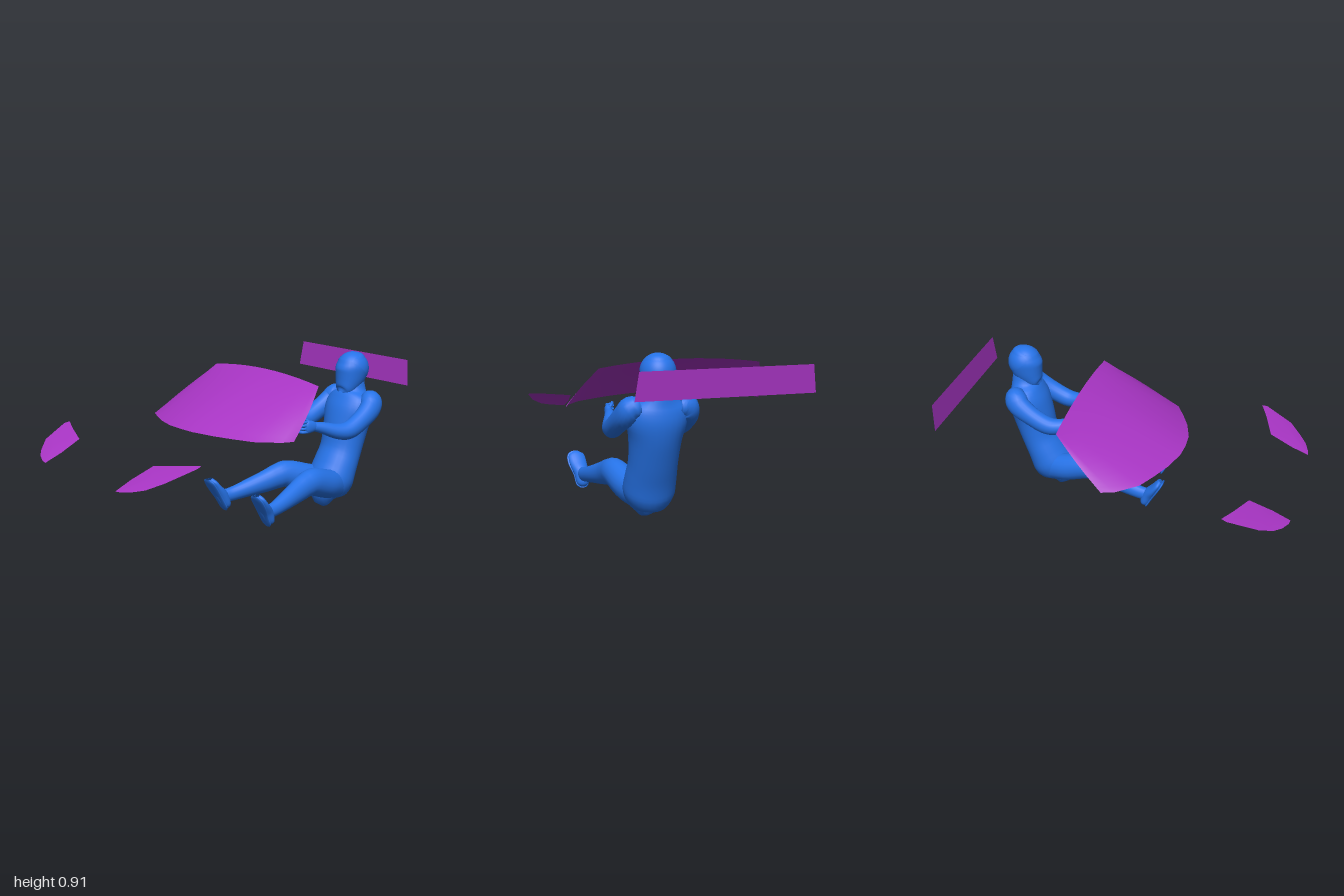
import * as THREE from 'three';

const blue = new THREE.MeshStandardMaterial({ color: 0x2673e8, side: THREE.DoubleSide });
const purple = new THREE.MeshStandardMaterial({ color: 0xa835c4, side: THREE.DoubleSide });

function buildGeometry(positions, index) {
  const g = new THREE.BufferGeometry();
  g.setAttribute('position', new THREE.Float32BufferAttribute(positions, 3));
  g.setIndex(index);
  g.computeVertexNormals();
  return g;
}

function addMesh(parent, name, geometry, material) {
  const mesh = new THREE.Mesh(geometry, material);
  mesh.name = name;
  parent.add(mesh);
  return mesh;
}

// Smooth tube of elliptical rings through sections [x, y, z, halfWidth, halfDepth]
function loft(sections, mirror = 1, sides = 20, perSection = 4) {
  const path = new THREE.CatmullRomCurve3(
    sections.map(([x, y, z]) => new THREE.Vector3(x * mirror, y, z)), false, 'catmullrom');
  const radii = new THREE.CatmullRomCurve3(
    sections.map(s => new THREE.Vector3(s[3], s[4], 0)), false, 'catmullrom');
  const steps = (sections.length - 1) * perSection;
  const positions = [], index = [];
  for (let i = 0; i <= steps; i++) {
    const c = path.getPoint(i / steps), r = radii.getPoint(i / steps);
    const t = path.getTangent(i / steps);
    const side = new THREE.Vector3(1, 0, 0).addScaledVector(t, -t.x).normalize();
    const n = new THREE.Vector3().crossVectors(t, side);
    for (let j = 0; j < sides; j++) {
      const a = j / sides * Math.PI * 2;
      const p = c.clone()
        .addScaledVector(side, Math.cos(a) * Math.max(r.x, 0.001))
        .addScaledVector(n, Math.sin(a) * Math.max(r.y, 0.001));
      positions.push(p.x, p.y, p.z);
      if (i < steps) {
        const k = (j + 1) % sides, a0 = i * sides, a1 = a0 + sides;
        index.push(a0 + j, a0 + k, a1 + j, a0 + k, a1 + k, a1 + j);
      }
    }
  }
  return buildGeometry(positions, index);
}

// Seated driver, modelled about its own centre line
function createDriver() {
  const driver = new THREE.Group();
  driver.name = 'driver';

  addMesh(driver, 'torso', loft([
    [0, 0.008, -0.55, 0.02, 0.02], [0, 0.03, -0.535, 0.09, 0.10],
    [0, 0.11, -0.56, 0.138, 0.13], [0, 0.20, -0.60, 0.14, 0.12],
    [0, 0.30, -0.645, 0.134, 0.113], [0, 0.43, -0.68, 0.143, 0.123],
    [0, 0.53, -0.705, 0.165, 0.12], [0, 0.60, -0.72, 0.15, 0.10],
    [0, 0.65, -0.73, 0.085, 0.078], [0, 0.71, -0.73, 0.065, 0.068],
  ], 1, 28), blue);

  addMesh(driver, 'head', loft([
    [0, 0.637, -0.635, 0.02, 0.015], [0, 0.65, -0.655, 0.052, 0.045],
    [0, 0.69, -0.685, 0.072, 0.076], [0, 0.74, -0.71, 0.085, 0.099],
    [0, 0.79, -0.722, 0.09, 0.097], [0, 0.84, -0.724, 0.073, 0.077],
    [0, 0.862, -0.722, 0.045, 0.045], [0, 0.87, -0.72, 0.003, 0.003],
  ], 1, 28), blue);

  // Helmet shell, tipped back so its rim runs across the brow
  const helmet = addMesh(driver, 'helmet',
    new THREE.SphereGeometry(0.1, 28, 14, 0, Math.PI * 2, 0, Math.PI * 0.5), blue);
  helmet.position.set(0, 0.776, -0.725);
  helmet.rotation.x = -0.7;
  helmet.scale.x = 0.95;

  for (const [side, m] of [['left', 1], ['right', -1]]) {
    addMesh(driver, side + 'Arm', loft([
      [0.10, 0.60, -0.745, 0.05, 0.05], [0.145, 0.595, -0.738, 0.066, 0.066],
      [0.17, 0.56, -0.71, 0.058, 0.068], [0.185, 0.51, -0.63, 0.053, 0.058],
      [0.188, 0.462, -0.53, 0.051, 0.054], [0.175, 0.462, -0.45, 0.045, 0.045],
      [0.152, 0.49, -0.36, 0.033, 0.034], [0.14, 0.505, -0.30, 0.023, 0.026],
    ], m), blue);

    addMesh(driver, side + 'Palm', loft([
      [0.14, 0.503, -0.31, 0.02, 0.024], [0.14, 0.507, -0.28, 0.02, 0.034],
      [0.137, 0.508, -0.25, 0.016, 0.037], [0.134, 0.508, -0.235, 0.004, 0.02],
    ], m), blue);

    // Fingers curl inward around a missing steering wheel
    for (let i = 0; i < 4; i++) {
      const y = 0.479 + i * 0.019;
      const finger = new THREE.CatmullRomCurve3([[0.138, -0.25], [0.13, -0.22],
        [0.11, -0.217], [0.1, -0.238]].map(([x, z]) => new THREE.Vector3(x * m, y, z)));
      addMesh(driver, side + 'Finger', new THREE.TubeGeometry(finger, 10, 0.0085, 8), blue);
    }
    const thumb = new THREE.CatmullRomCurve3([[0.135, 0.525, -0.28], [0.115, 0.543, -0.262],
      [0.105, 0.548, -0.235]].map(([x, y, z]) => new THREE.Vector3(x * m, y, z)));
    addMesh(driver, side + 'Thumb', new THREE.TubeGeometry(thumb, 8, 0.009, 8), blue);

    addMesh(driver, side + 'Leg', loft([
      [0.065, 0.105, -0.57, 0.06, 0.08], [0.085, 0.13, -0.45, 0.08, 0.085],
      [0.113, 0.17, -0.32, 0.071, 0.08], [0.125, 0.163, -0.25, 0.063, 0.074],
      [0.14, 0.143, -0.18, 0.055, 0.066], [0.17, 0.113, -0.06, 0.045, 0.051],
      [0.19, 0.092, 0.03, 0.034, 0.042], [0.197, 0.085, 0.085, 0.03, 0.04],
    ], m), blue);

    addMesh(driver, side + 'Shoe', loft([
      [0.195, 0.012, 0.07, 0.012, 0.008], [0.196, 0.035, 0.075, 0.036, 0.028],
      [0.199, 0.09, 0.10, 0.043, 0.036], [0.208, 0.14, 0.135, 0.05, 0.026],
      [0.213, 0.182, 0.163, 0.045, 0.018], [0.214, 0.2, 0.175, 0.015, 0.01],
    ], m), blue);

    addMesh(driver, side + 'Sole', loft([
      [0.193, 0.004, 0.082, 0.018, 0.005], [0.194, 0.025, 0.093, 0.038, 0.008],
      [0.199, 0.08, 0.124, 0.042, 0.008], [0.21, 0.14, 0.159, 0.053, 0.008],
      [0.214, 0.18, 0.182, 0.047, 0.008], [0.214, 0.2, 0.193, 0.02, 0.005],
    ], m), blue);
  }
  driver.position.x = 0.28;
  return driver;
}

// Windscreen: ruled from the bowed front edge to the straight rear edge
function createWindscreen() {
  const half = [[0.59, 0.493, 0], [0.57, 0.494, 0.07], [0.47, 0.496, 0.185],
    [0.36, 0.499, 0.24], [0.25, 0.502, 0.288], [0.11, 0.505, 0.328]];
  const edge = [...half.map(([x, y, z]) => [-x, y, z]), [0, 0.506, 0.335], ...half.reverse()];
  const positions = [], index = [], rows = 10, cols = edge.length;
  for (let i = 0; i <= rows; i++) {
    const v = i / rows;
    edge.forEach(([x, y, z], j) => {
      const s = x / 0.59, bulge = Math.sin(Math.PI * v) * 0.012;
      positions.push(
        THREE.MathUtils.lerp(x, s * 0.47, v) + s * bulge,
        THREE.MathUtils.lerp(y, 0.782 - 0.035 * s * s, v) + bulge * (1 - s * s),
        THREE.MathUtils.lerp(z, -0.283, v));
      if (i < rows && j < cols - 1) {
        const a = i * cols + j, b = a + cols;
        index.push(a, a + 1, b, a + 1, b + 1, b);
      }
    });
  }
  return buildGeometry(positions, index);
}

// Headlight cover: a shallow fan about its middle
function createLightCover(m) {
  const rim = [[0.65, 0.48, 0.67], [0.66, 0.472, 0.70], [0.60, 0.41, 0.86], [0.53, 0.371, 0.93],
    [0.47, 0.355, 0.97], [0.40, 0.343, 0.995], [0.36, 0.34, 1], [0.355, 0.383, 0.90],
    [0.373, 0.44, 0.77], [0.54, 0.465, 0.715]];
  const positions = [0.49 * m, 0.415, 0.86], index = [];
  rim.forEach(([x, y, z], i) => {
    positions.push(x * m, y, z);
    const a = i + 1, b = (i + 1) % rim.length + 1;
    index.push(0, ...(m > 0 ? [b, a] : [a, b]));
  });
  const g = buildGeometry(positions, index);
  if (g.attributes.normal.getY(0) < 0) {
    g.setIndex(index.reverse());
    g.computeVertexNormals();
  }
  return g;
}

export function createModel() {
  const model = new THREE.Group();
  model.add(createDriver());
  addMesh(model, 'windscreen', createWindscreen(), purple);
  addMesh(model, 'leftLightCover', createLightCover(1), purple);
  addMesh(model, 'rightLightCover', createLightCover(-1), purple);

  // Flat rear window, slightly wider at the bottom
  addMesh(model, 'rearWindow', buildGeometry([
    -0.465, 0.82, -1, 0.465, 0.82, -1, 0.485, 0.67, -0.986, -0.485, 0.67, -0.986,
  ], [0, 1, 2, 0, 2, 3]), purple);
  return model;
}
